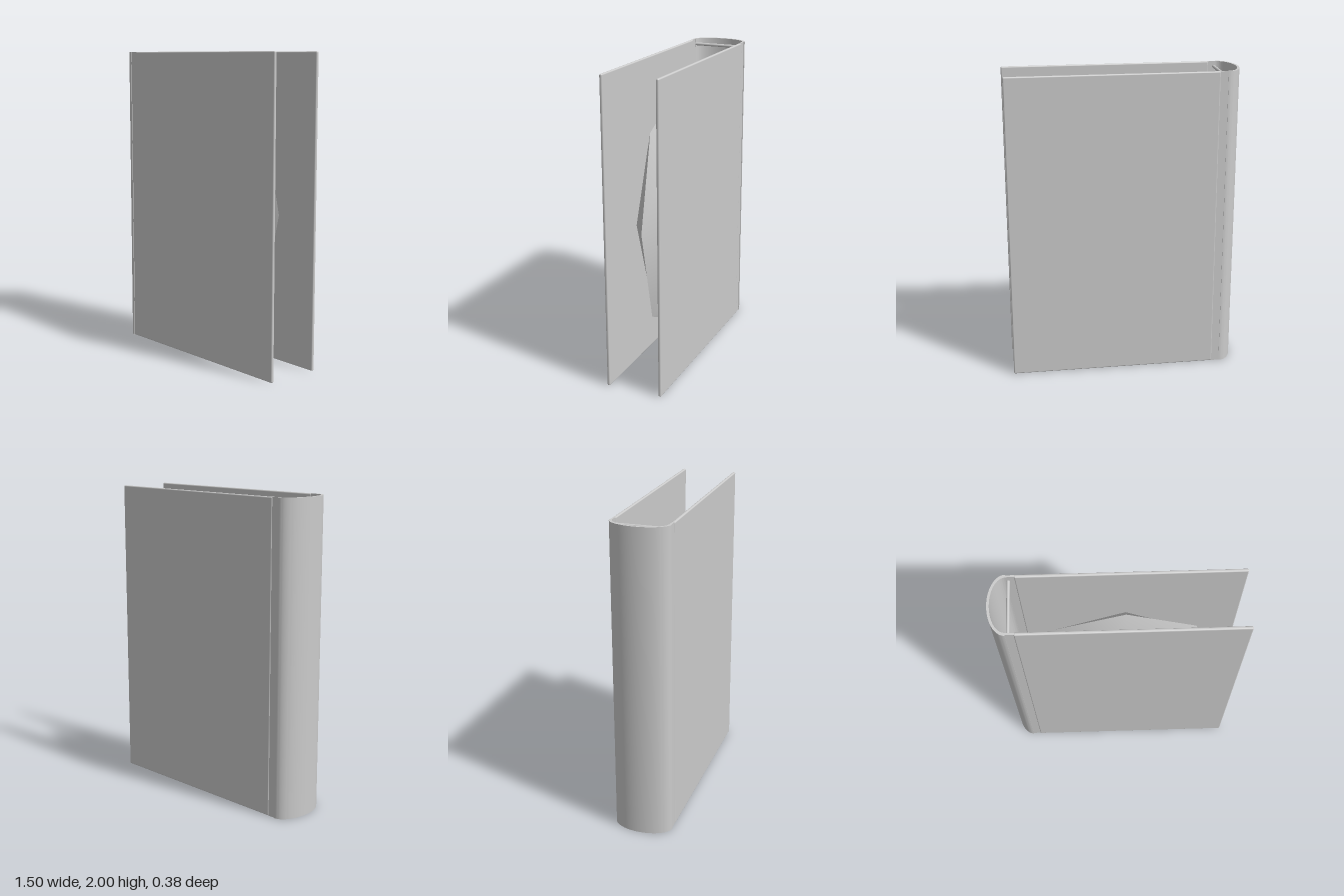
import * as THREE from 'three';
import { RoundedBoxGeometry } from 'three/addons/geometries/RoundedBoxGeometry.js';
import { toCreasedNormals } from 'three/addons/utils/BufferGeometryUtils.js';

const material = new THREE.MeshStandardMaterial({ color: 0xcccccc });

export function createModel() {
  const group = new THREE.Group();
  const add = (name, geometry, x, y, z) => {
    const mesh = new THREE.Mesh(geometry, material);
    mesh.name = name;
    mesh.position.set(x, y, z);
    group.add(mesh);
    return mesh;
  };

  // Cover boards, each with a thinner hinge strip towards the spine
  for (const [side, s] of [['front', 1], ['back', -1]]) {
    add(side + 'Board', new RoundedBoxGeometry(1.35, 2, 0.02, 3, 0.008), 0.075, 1, s * 0.178);
    add(side + 'Hinge', new THREE.BoxGeometry(0.06, 2, 0.012), -0.625, 1, s * 0.178);
  }

  // Spine: half-elliptical shell extruded along the height
  const outline = new THREE.Shape();
  outline.absellipse(0, 0, 0.105, 0.188, Math.PI / 2, Math.PI * 1.5, false);
  outline.absellipse(0, 0, 0.09, 0.17, Math.PI * 1.5, Math.PI / 2, true);
  const spine = new THREE.ExtrudeGeometry(outline, { depth: 2, bevelEnabled: false, curveSegments: 24 });
  spine.rotateX(-Math.PI / 2);
  add('spine', toCreasedNormals(spine, 0.6), -0.65, 0, 0);

  // Cross bars at the top and bottom of the spine
  for (const [name, y] of [['topBar', 1.968], ['bottomBar', 0.036]]) {
    const bar = new THREE.CylinderGeometry(0.01, 0.01, 0.325, 16);
    bar.rotateX(Math.PI / 2);
    add(name, bar, -0.635, y, 0);
  }

  // Page block: a 2x2x2 box whose edges and corners are pulled in
  const pages = new THREE.BoxGeometry(2, 2, 2, 2, 2, 2);
  const p = pages.attributes.position;
  const pull = [0, 1, 0.75, 5 / 9];
  for (let i = 0; i < p.count; i++) {
    const v = new THREE.Vector3().fromBufferAttribute(p, i).round();
    const k = pull[Math.abs(v.x) + Math.abs(v.y) + Math.abs(v.z)];
    p.setXYZ(i, v.x * 0.57 * k, v.y * 0.81 * k, v.z * 0.135 * k);
  }
  add('pages', toCreasedNormals(pages, 0.6), 0.04, 1, 0);

  return group;
}
